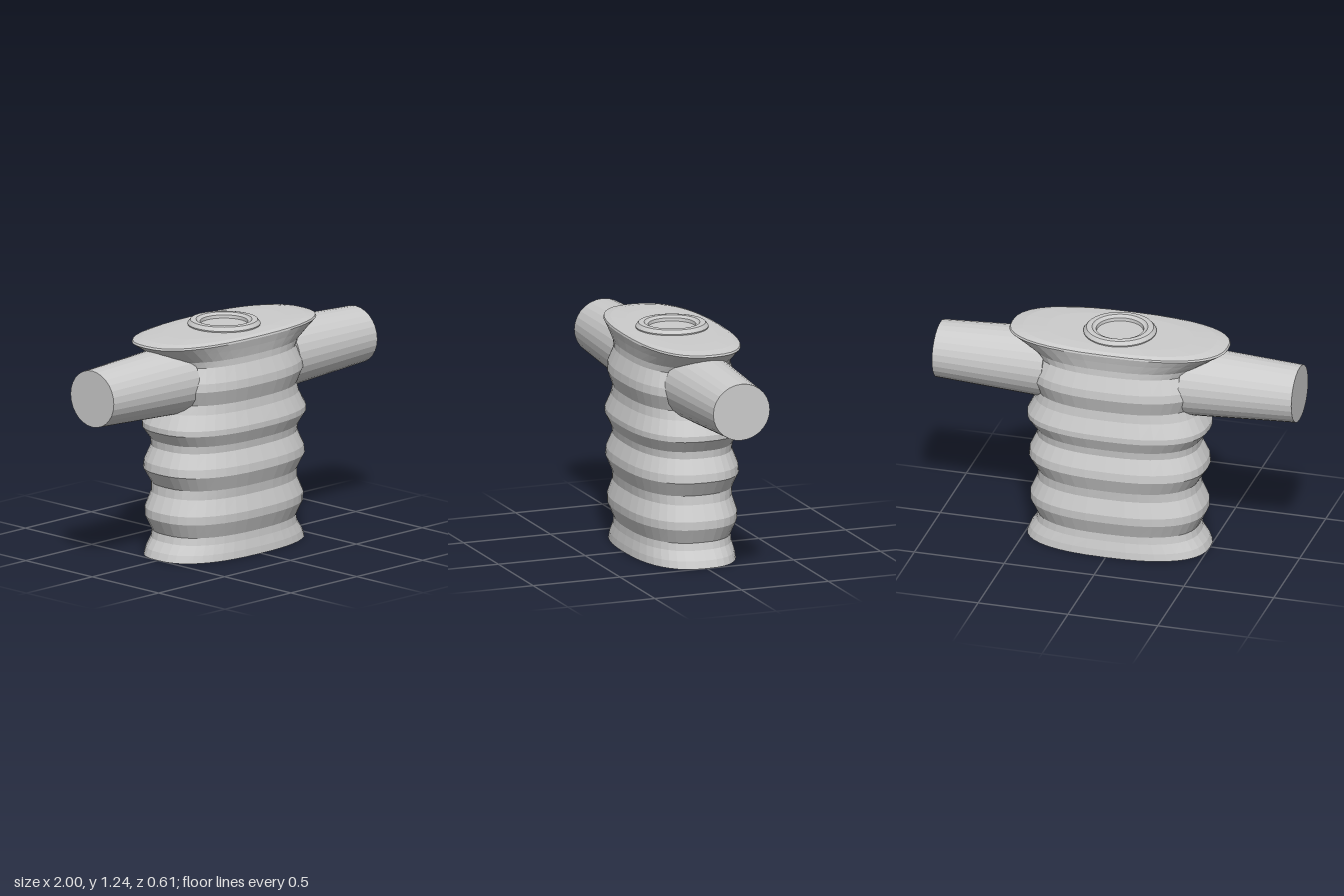
import * as THREE from 'three';

const material = new THREE.MeshStandardMaterial({ color: 0xcccccc, flatShading: true });

// Skin of stacked rounded-oval rings, each [y, half width, half depth]
function ovalStack(rings, sides, power) {
  const positions = [], index = [];
  const bend = (v) => Math.sign(v) * Math.pow(Math.abs(v), 2 / power);
  for (const [y, w, d] of rings) {
    for (let i = 0; i < sides; i++) {
      const a = (i / sides) * Math.PI * 2;
      positions.push(w * bend(Math.cos(a)), y, d * bend(Math.sin(a)));
    }
  }
  for (let r = 0; r < rings.length - 1; r++) {
    for (let i = 0; i < sides; i++) {
      const a = r * sides + i, b = r * sides + ((i + 1) % sides);
      const c = a + sides, d = b + sides;
      index.push(a, c, b, b, c, d);
    }
  }
  const g = new THREE.BufferGeometry();
  g.setAttribute('position', new THREE.Float32BufferAttribute(positions, 3));
  g.setIndex(index);
  const flat = g.toNonIndexed();
  flat.computeVertexNormals();
  return flat;
}

export function createModel() {
  const model = new THREE.Group();
  const add = (name, geometry) => {
    const mesh = new THREE.Mesh(geometry, material);
    mesh.name = name;
    model.add(mesh);
    return mesh;
  };

  // Ribbed torso with flared shoulder rim and shallow domed top
  add('ribbedBody', ovalStack([
    [0, 0, 0],
    [0, 0.503, 0.28],
    [0.04, 0.487, 0.276],
    [0.09, 0.452, 0.265],
    [0.13, 0.443, 0.262],
    [0.21, 0.483, 0.293],
    [0.255, 0.483, 0.295],
    [0.34, 0.445, 0.27],
    [0.39, 0.44, 0.275],
    [0.47, 0.49, 0.304],
    [0.515, 0.485, 0.3],
    [0.595, 0.447, 0.27],
    [0.635, 0.45, 0.275],
    [0.7, 0.5, 0.304],
    [0.73, 0.5, 0.304],
    [0.81, 0.458, 0.275],
    [0.86, 0.443, 0.27],
    [0.94, 0.48, 0.296],
    [0.985, 0.475, 0.292],
    [1.065, 0.438, 0.262],
    [1.1, 0.462, 0.26],
    [1.15, 0.54, 0.27],
    [1.19, 0.604, 0.28],
    [1.2, 0.598, 0.277],
    [1.21, 0.53, 0.255],
    [1.215, 0.4, 0.19],
    [1.215, 0, 0],
  ], 40, 2.5));

  // Raised neck collar, open in the middle
  const collar = [
    [0.192, 1.205], [0.196, 1.222], [0.19, 1.23], [0.18, 1.242], [0.165, 1.244],
    [0.15, 1.243], [0.142, 1.235], [0.128, 1.232], [0.125, 1.21],
  ].map(([r, y]) => new THREE.Vector2(r, y));
  add('neckCollar', new THREE.LatheGeometry(collar, 40));

  // Tapered arm stubs, slightly deeper than tall
  for (const [name, side] of [['leftArm', 1], ['rightArm', -1]]) {
    const g = new THREE.CylinderGeometry(0.155, 0.188, 0.62, 28);
    g.scale(1, 1, 1.05);
    g.rotateZ(-side * Math.PI / 2);
    add(name, g).position.set(side * 0.69, 0.98, 0);
  }
  return model;
}
